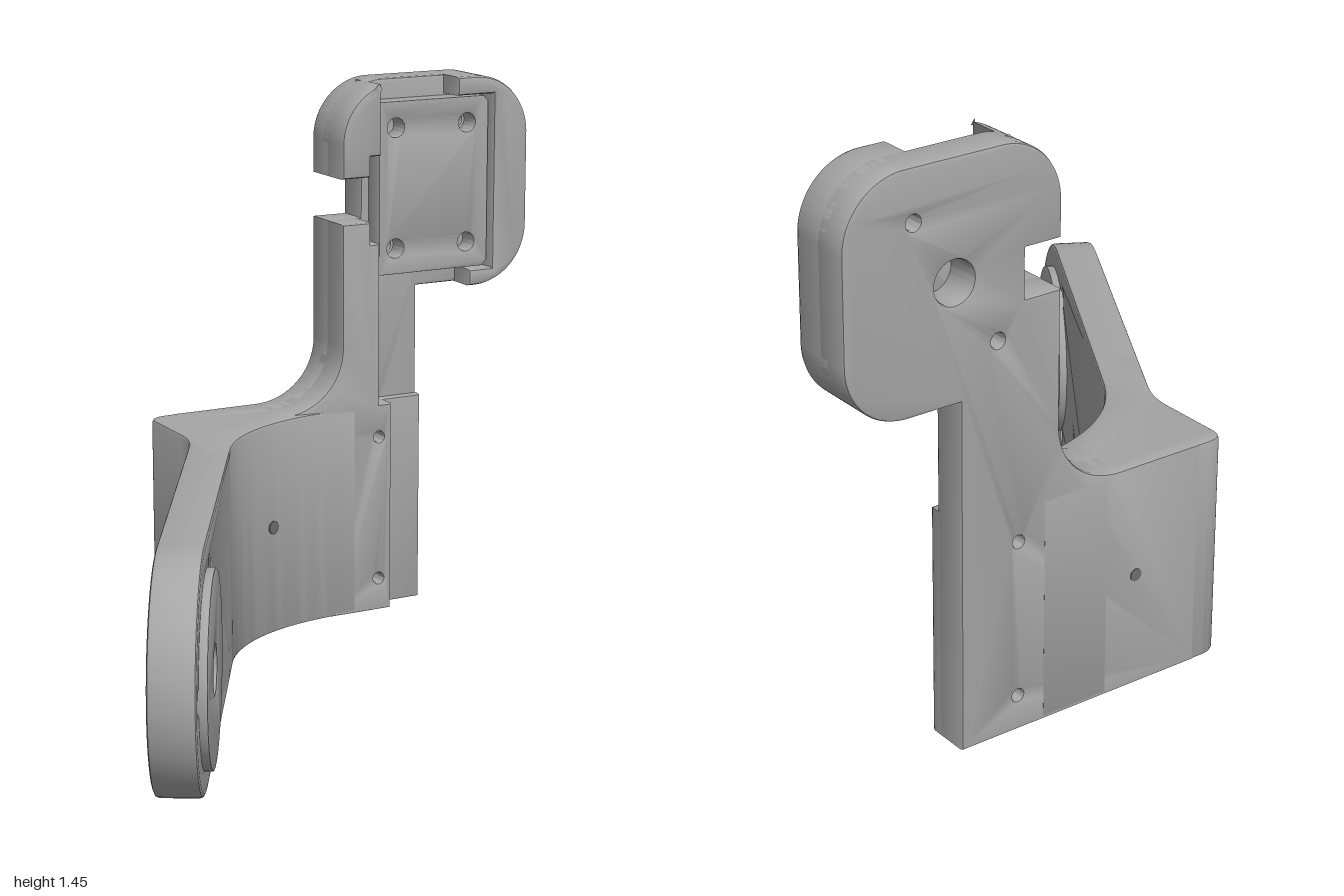
import * as THREE from 'three';
import { toCreasedNormals } from 'three/addons/utils/BufferGeometryUtils.js';

const grey = new THREE.MeshStandardMaterial({ color: 0xa6a6a6 });
grey.name = 'grey';
const darkGrey = new THREE.MeshStandardMaterial({ color: 0x6e6e6e });
darkGrey.name = 'dark grey';

// Extrudes a shape between two depths, with small chamfered edges kept inside the outline
function slab(shape, from, to, bevel = 0.008) {
  const geo = new THREE.ExtrudeGeometry(shape, {
    depth: to - from - 2 * bevel, curveSegments: 24, bevelEnabled: bevel > 0,
    bevelSize: bevel, bevelThickness: bevel, bevelOffset: -bevel, bevelSegments: 2,
  });
  geo.translate(0, 0, from + bevel);
  return geo;
}

function part(name, geo, material = grey) {
  const mesh = new THREE.Mesh(toCreasedNormals(geo, 0.6), material);
  mesh.name = name;
  return mesh;
}

function addHole(shape, x, y, r) {
  const hole = new THREE.Path();
  hole.absarc(x, y, r, 0, Math.PI * 2, true);
  shape.holes.push(hole);
}

function polygon(points) {
  return new THREE.Shape(points.map(([x, y]) => new THREE.Vector2(x, y)));
}

// Long arm with a round end, drawn in (-z, y) and extruded along x
function buildArm() {
  const group = new THREE.Group();
  group.name = 'arm';
  const cx = -0.71, cy = 0.29, r = 0.29;
  const shape = new THREE.Shape();
  shape.moveTo(0.12, 0);
  shape.lineTo(0.12, 0.58);
  shape.lineTo(cx, 0.58);
  shape.absarc(cx, cy, r, Math.PI / 2, Math.PI * 1.5, false);
  shape.lineTo(0.12, 0);
  addHole(shape, cx, cy, 0.075);
  for (let i = 0; i < 3; i++) {
    const a = Math.PI + i * Math.PI * 2 / 3;
    addHole(shape, cx + 0.236 * Math.cos(a), cy + 0.236 * Math.sin(a), 0.022);
  }
  group.add(part('armBar', slab(shape, -0.38, -0.27, 0.01).rotateY(Math.PI / 2)));

  // Raised round boss around the pivot hole
  const boss = new THREE.Shape();
  boss.absarc(cx, cy, 0.23, 0, Math.PI * 2, false);
  addHole(boss, cx, cy, 0.057);
  group.add(part('pivotBoss', slab(boss, -0.275, -0.25, 0.003).rotateY(Math.PI / 2)));
  const sleeve = new THREE.Shape();
  sleeve.absarc(cx, cy, 0.08, 0, Math.PI * 2, false);
  addHole(sleeve, cx, cy, 0.057);
  group.add(part('pivotSleeve', slab(sleeve, -0.34, -0.26, 0).rotateY(Math.PI / 2)));
  return group;
}

// Curved flare joining the arm to the slanted plate, drawn in (x, -z)
function buildFlare() {
  const s = new THREE.Shape();
  s.moveTo(-0.27, 0);
  s.lineTo(-0.27, 0.14);
  s.bezierCurveTo(-0.27, 0.34, -0.14, 0.48, 0.003, 0.563);
  s.lineTo(0.037, 0.583);
  s.lineTo(-0.05, 0.735);
  s.lineTo(-0.47, 0.492);
  s.quadraticCurveTo(-0.515, 0.466, -0.49, 0.425);
  s.lineTo(-0.41, 0.285);
  s.quadraticCurveTo(-0.38, 0.235, -0.38, 0.17);
  s.lineTo(-0.38, 0);
  return part('flare', slab(s, 0, 0.58, 0.01).rotateX(-Math.PI / 2));
}

// Left side of the column down to the foot, with its large fillet
function columnFillet(shape) {
  shape.lineTo(0.48, 0.75);
  shape.bezierCurveTo(0.48, 0.65, 0.4, 0.58, 0.3, 0.58);
}

// Slanted plate: column and head, built flat and then turned by 30 degrees
function buildPlate() {
  const group = new THREE.Group();
  group.name = 'slantedPlate';
  group.position.set(-0.5, 0, -0.475);
  group.rotation.y = Math.PI / 6;
  const R = 0.16;

  // Back layer over foot, column and head
  const back = new THREE.Shape();
  back.moveTo(0.06, 0);
  back.lineTo(0.75, 0);
  back.lineTo(0.75, 0.88);
  back.lineTo(1.05 - R, 0.88);
  back.absarc(1.05 - R, 0.88 + R, R, -Math.PI / 2, 0, false);
  back.absarc(1.05 - R, 1.45 - R, R, 0, Math.PI / 2, false);
  back.absarc(0.48 + R, 1.45 - R, R, Math.PI / 2, Math.PI, false);
  back.lineTo(0.48, 1.2);
  back.lineTo(0.577, 1.2);
  back.lineTo(0.577, 1.08);
  back.lineTo(0.48, 1.08);
  columnFillet(back);
  back.lineTo(0.06, 0.58);
  for (const y of [0.09, 0.49]) addHole(back, 0.592, y, 0.015);
  addHole(back, 0.765, 1.165, 0.052);
  addHole(back, 0.869, 1.325, 0.018);
  addHole(back, 0.65, 1.0, 0.018);
  group.add(part('backLayer', slab(back, 0, 0.095)));

  // Thick front of the column, with the cable channel step at its top
  const column = new THREE.Shape();
  column.moveTo(0.45, 0);
  column.lineTo(0.63, 0);
  column.lineTo(0.63, 0.58);
  column.lineTo(0.592, 0.58);
  column.lineTo(0.592, 1.02);
  column.lineTo(0.565, 1.02);
  column.lineTo(0.565, 1.08);
  column.lineTo(0.48, 1.08);
  columnFillet(column);
  column.lineTo(0.3, 0.5);
  column.lineTo(0.45, 0.5);
  for (const y of [0.09, 0.49]) addHole(column, 0.592, y, 0.015);
  group.add(part('columnFront', slab(column, 0.05, 0.175)));

  // Thin tab at the end of the foot
  const tab = polygon([[0.625, 0], [0.75, 0], [0.75, 0.58], [0.625, 0.58]]);
  group.add(part('footTab', slab(tab, 0.05, 0.12)));

  // Rounded upper lobe above the notch
  const lobe = new THREE.Shape();
  lobe.moveTo(0.48, 1.2);
  lobe.lineTo(0.565, 1.2);
  lobe.lineTo(0.565, 1.255);
  lobe.lineTo(0.597, 1.255);
  lobe.lineTo(0.597, 1.443);
  lobe.absarc(0.48 + R, 1.45 - R, R, Math.PI * 0.585, Math.PI, false);
  group.add(part('headLobe', slab(lobe, 0.05, 0.175, 0.012)));

  // C-shaped outer wall of the head
  const wall = new THREE.Shape();
  wall.moveTo(0.87, 0.88);
  wall.lineTo(1.05 - R, 0.88);
  wall.absarc(1.05 - R, 0.88 + R, R, -Math.PI / 2, 0, false);
  wall.absarc(1.05 - R, 1.45 - R, R, 0, Math.PI / 2, false);
  wall.lineTo(0.83, 1.45);
  wall.lineTo(0.83, 1.4);
  wall.lineTo(0.942, 1.4);
  wall.lineTo(0.942, 0.925);
  wall.lineTo(0.87, 0.925);
  group.add(part('headWall', slab(wall, 0.05, 0.175, 0.012)));

  // Mounting plate with four holes in the pocket
  const mount = polygon([[0.6, 0.93], [0.92, 0.93], [0.935, 0.945],
    [0.935, 1.38], [0.92, 1.395], [0.6, 1.395]]);
  for (const x of [0.65, 0.869]) for (const y of [1.0, 1.325]) addHole(mount, x, y, 0.026);
  group.add(part('mountingPlate', slab(mount, 0.09, 0.155, 0.002)));

  // Rear end of the flare's screw hole
  const disc = new THREE.CylinderGeometry(0.016, 0.016, 0.006, 20).rotateX(Math.PI / 2);
  disc.translate(0.25, 0.295, 0.001);
  group.add(part('rearScrewHole', disc, darkGrey));
  return group;
}

export function createModel() {
  const model = new THREE.Group();
  model.name = 'angledBracket';
  model.add(buildArm(), buildFlare(), buildPlate());

  // Front end of the flare's screw hole
  const disc = new THREE.CylinderGeometry(0.018, 0.018, 0.008, 20).rotateX(Math.PI / 2);
  const screwHole = part('frontScrewHole', disc, darkGrey);
  screwHole.position.set(-0.178, 0.295, -0.408);
  screwHole.rotation.y = 0.94;
  model.add(screwHole);
  return model;
}
